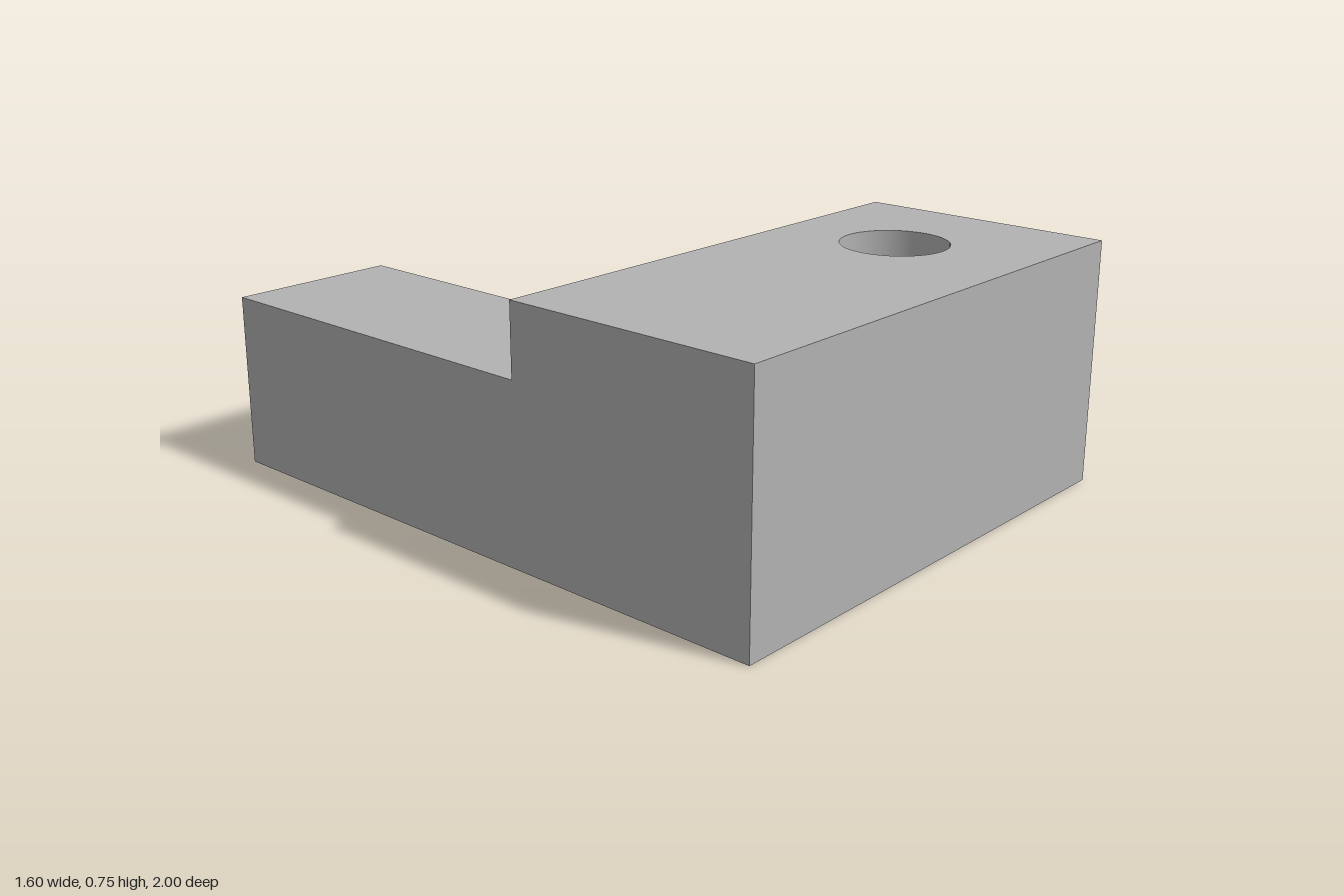
import * as THREE from 'three';
import { toCreasedNormals } from 'three/addons/utils/BufferGeometryUtils.js';

// Plan outline in [x, z], extruded upwards from the ground
function slab(name, outline, height, material, hole) {
  const shape = new THREE.Shape(outline.map(([x, z]) => new THREE.Vector2(x, -z)));
  if (hole) {
    const path = new THREE.Path();
    path.absarc(hole.x, -hole.z, hole.r, 0, Math.PI * 2, true);
    shape.holes.push(path);
  }
  const extruded = new THREE.ExtrudeGeometry(shape, { depth: height, bevelEnabled: false, curveSegments: 32 });
  extruded.rotateX(-Math.PI / 2);
  const mesh = new THREE.Mesh(toCreasedNormals(extruded, Math.PI / 6), material);
  mesh.name = name;
  return mesh;
}

export function createModel() {
  const model = new THREE.Group();
  model.name = 'steppedBracket';
  const grey = new THREE.MeshStandardMaterial({ color: 0xb2b2b2 });
  grey.name = 'grey';

  // Tall front block with a round through-hole
  const block = [[-0.8, 1], [0.8, 1], [0.8, 0.2], [-0.8, 0.2]];
  model.add(slab('frontBlock', block, 0.747, grey, { x: 0.37, z: 0.57, r: 0.16 }));

  // Lower rear arm, narrowing in steps towards the back
  const arm = [
    [-0.8, 0.2], [0.477, 0.2], [0.477, -0.015], [0.05, -0.015],
    [0.05, -0.333], [-0.267, -0.333], [-0.267, -1], [-0.8, -1],
  ];
  model.add(slab('steppedArm', arm, 0.533, grey));

  return model;
}
